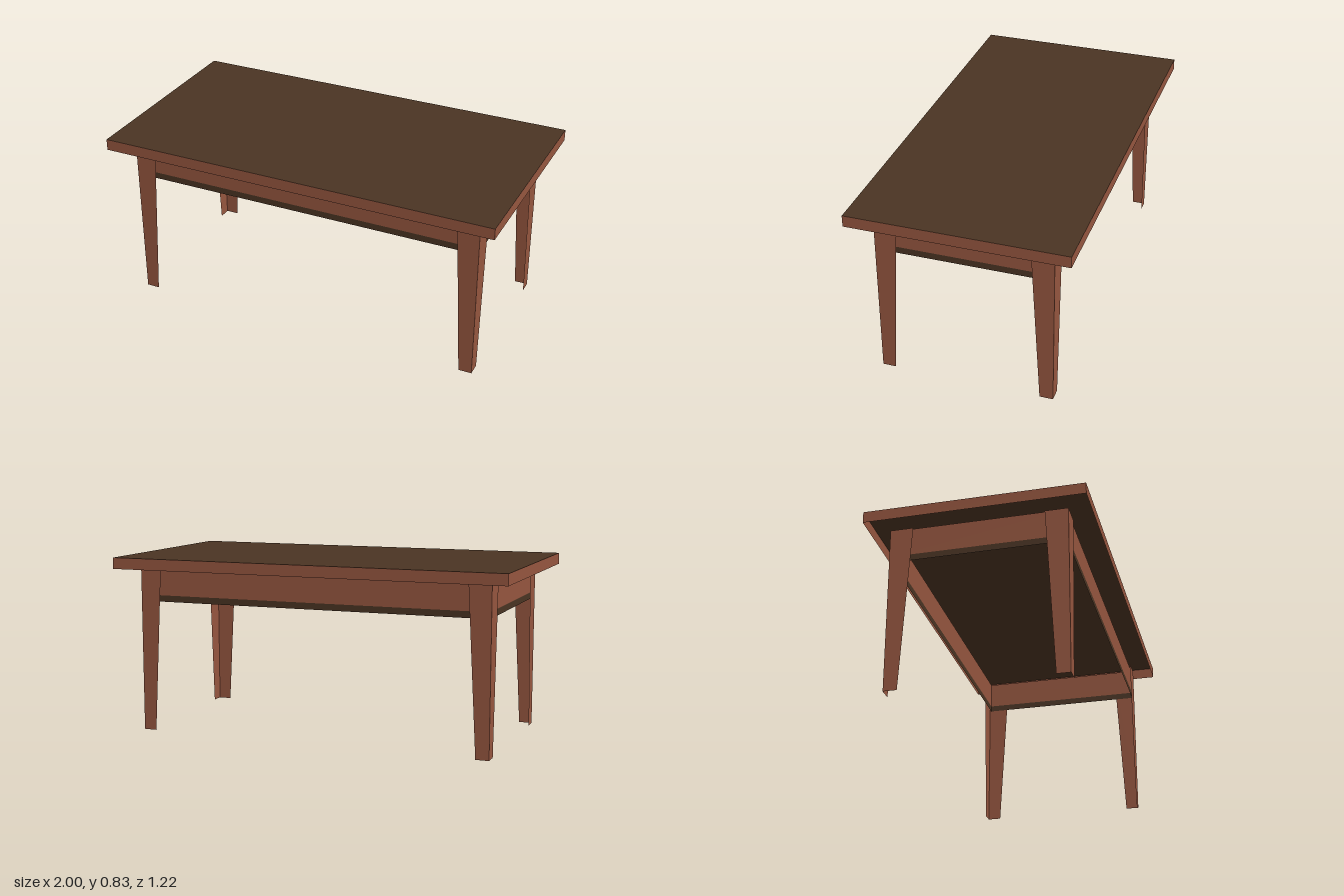
import * as THREE from 'three';

const redWood = new THREE.MeshStandardMaterial({ color: 0x95563f, side: THREE.DoubleSide });
redWood.name = 'red wood';
const darkWood = new THREE.MeshStandardMaterial({ color: 0x4a3423, side: THREE.DoubleSide });
darkWood.name = 'dark brown wood';

const TOP = { x: 0.947, z: 0.4985, low: 0.78, high: 0.833 };
const LEG = { x: 0.853, z: 0.402, wide: 0.105, narrow: 0.062 };
const APRON = { x: 0.844, z: 0.393, low: 0.622, seam: 0.652 };

// Four thin upright panels around a rectangle of half sizes hx, hz
function frame(name, hx, hz, low, high, material) {
  const group = new THREE.Group();
  group.name = name;
  for (let i = 0; i < 4; i++) {
    const long = i % 2 === 0;
    const panel = new THREE.Mesh(new THREE.PlaneGeometry(2 * (long ? hx : hz), high - low), material);
    const angle = i * Math.PI / 2;
    const out = long ? hz : hx;
    panel.rotation.y = angle;
    panel.position.set(Math.sin(angle) * out, (low + high) / 2, Math.cos(angle) * out);
    panel.name = name + 'Panel';
    group.add(panel);
  }
  return group;
}

// Tapered corner leg: two thin boards meeting at the straight outer edge
function cornerLeg(sx, sz) {
  const board = new THREE.Shape([
    new THREE.Vector2(0, 0),
    new THREE.Vector2(0, TOP.low),
    new THREE.Vector2(-LEG.wide, TOP.low),
    new THREE.Vector2(-LEG.narrow, 0),
  ]);
  const geometry = new THREE.ShapeGeometry(board);
  const leg = new THREE.Group();
  leg.name = (sz > 0 ? 'front' : 'back') + (sx > 0 ? 'Left' : 'Right') + 'Leg';
  const wide = new THREE.Mesh(geometry, redWood);
  wide.name = 'legLongSideBoard';
  const side = new THREE.Mesh(geometry.clone().rotateY(-Math.PI / 2), redWood);
  side.name = 'legShortSideBoard';
  leg.add(wide, side);
  leg.position.set(sx * LEG.x, 0, sz * LEG.z);
  leg.scale.set(sx, 1, sz);
  return leg;
}

export function createModel() {
  const table = new THREE.Group();
  table.name = 'table';

  // Table top sheet with a hanging edge band
  const top = new THREE.Mesh(new THREE.PlaneGeometry(2 * TOP.x, 2 * TOP.z), darkWood);
  top.name = 'tableTop';
  top.rotation.x = -Math.PI / 2;
  top.position.y = TOP.high;
  table.add(top);
  table.add(frame('topEdge', TOP.x, TOP.z, TOP.low, TOP.high, redWood));

  // Apron with a dark strip along its lower edge
  table.add(frame('apron', APRON.x, APRON.z, APRON.seam, TOP.low, redWood));
  table.add(frame('apronStrip', APRON.x, APRON.z, APRON.low, APRON.seam, darkWood));

  for (const sx of [-1, 1]) for (const sz of [-1, 1]) table.add(cornerLeg(sx, sz));

  // The table stands slightly turned
  table.rotation.y = -0.122;
  const model = new THREE.Group();
  model.name = 'turnedTable';
  model.add(table);
  return model;
}
